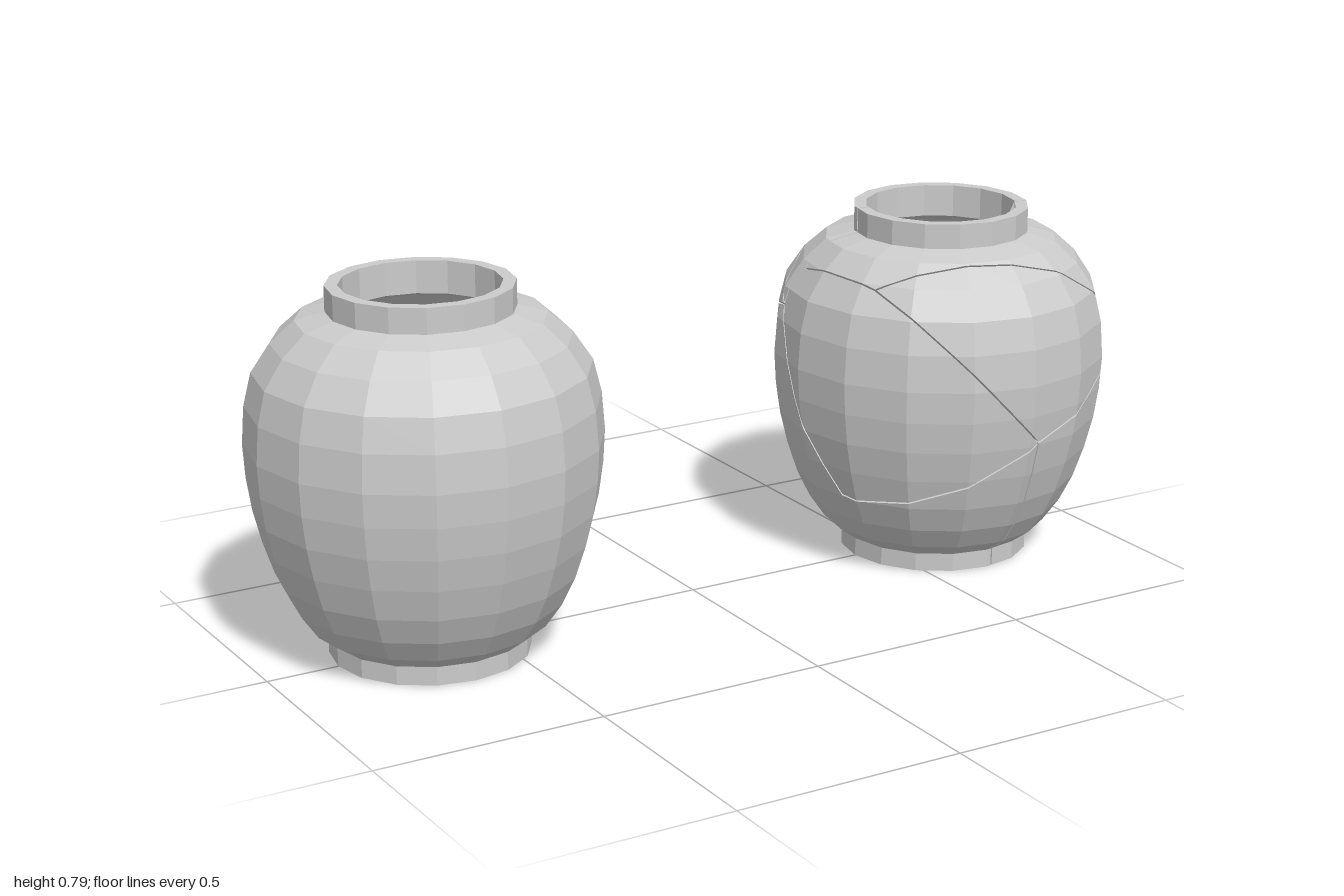
import * as THREE from 'three';

const SIDES = 16, WALL = 0.026, GAP = 0.0018, FLOOR = 0.03;
const V = (x, y, z) => new THREE.Vector3(x, y, z);
const CENTRE = V(0, 0.4, 0);

// [radius, height] from the foot up to the lip
const OUTER = [
  [0.21, 0], [0.21, 0.04], [0.25, 0.07], [0.285, 0.12], [0.314, 0.18], [0.337, 0.25],
  [0.354, 0.32], [0.364, 0.39], [0.368, 0.46], [0.362, 0.54], [0.345, 0.61],
  [0.305, 0.67], [0.255, 0.715], [0.193, 0.731], [0.193, 0.785],
];
// from the lip down to the inside floor
const INNER = [
  [0.166, 0.785], [0.166, 0.715], [0.24, 0.69], [0.285, 0.65], [0.345 - WALL, 0.6],
  [0.362 - WALL, 0.54], [0.368 - WALL, 0.46], [0.364 - WALL, 0.39], [0.354 - WALL, 0.32],
  [0.337 - WALL, 0.25], [0.314 - WALL, 0.18], [0.285 - WALL, 0.12], [0.222, 0.07], [0.19, FLOOR],
];
const lathe = (pts) =>
  new THREE.LatheGeometry(pts.map(([r, y]) => new THREE.Vector2(r, y)), SIDES);

// Points where the cracks meet; top and base lie on the axis
const J = {
  top: V(0, 0.9, 0), base: V(0, -0.2, 0),
  a: V(0.297, 0.445, 0.215), b: V(0.302, 0.53, 0.2), c: V(0.313, 0.615, 0.145),
  d: V(0.17, 0.655, -0.265), e: V(0.21, 0.435, -0.3), f: V(0.138, 0.32, -0.325),
  g: V(0.225, 0.08, -0.12), h: V(0.025, 0.325, 0.352), i: V(-0.275, 0.665, 0.15),
  j: V(-0.3, 0.66, -0.09), k: V(-0.332, 0.575, -0.117), l: V(-0.305, 0.18, 0.08),
};
// Convex pieces of the broken wall, named by their corners
const SHARDS = {
  frontRightLower: ['h', 'a', 'g', 'base'],
  sideLower: ['a', 'e', 'f', 'g'],
  sideUpper: ['a', 'b', 'c', 'd', 'e'],
  neckSide: ['top', 'c', 'd'],
  neckBack: ['top', 'd', 'k', 'j'],
  neckFront: ['top', 'c', 'b', 'i', 'j'],
  frontUpper: ['a', 'b', 'i', 'h'],
  frontSide: ['i', 'j', 'k', 'l', 'h'],
  backMiddle: ['d', 'k', 'f', 'e'],
  backLower: ['base', 'g', 'f', 'k', 'l'],
  frontLower: ['base', 'l', 'h'],
};
// Joins inside one piece, which stay closed
const CLOSED = ['top-d', 'd-top', 'base-l', 'l-base'];

// Planes through the centre that bound a shard
function shardPlanes(names) {
  const mid = V(0, 0, 0);
  names.forEach((n) => mid.add(J[n].clone().sub(CENTRE).normalize()));
  return names.map((n, k) => {
    const m = names[(k + 1) % names.length];
    const normal = J[n].clone().sub(CENTRE).cross(J[m].clone().sub(CENTRE)).normalize();
    if (normal.dot(mid) < 0) normal.negate();
    const gap = CLOSED.includes(n + '-' + m) ? 0 : GAP;
    return { normal, gap, dist: (p) => normal.dot(p.clone().sub(CENTRE)) - gap };
  });
}

function clip(poly, plane) {
  const out = [];
  poly.forEach((p, k) => {
    const q = poly[(k + 1) % poly.length], dp = plane.dist(p), dq = plane.dist(q);
    if (dp >= 0) out.push(p);
    if (dp >= 0 !== dq >= 0) out.push(p.clone().lerp(q, dp / (dp - dq)));
  });
  return out;
}

// Cut one shard out of the wall and close its broken edges
function shardGeometry(names, skins) {
  const planes = shardPlanes(names), pos = [];
  const fan = (poly) => {
    for (let k = 1; k < poly.length - 1; k++)
      [poly[0], poly[k], poly[k + 1]].forEach((p) => pos.push(p.x, p.y, p.z));
  };
  const inward = (p) => p.clone().addScaledVector(CENTRE.clone().sub(p).normalize(), WALL);
  skins.forEach((skin, s) => {
    const at = skin.attributes.position;
    for (let t = 0; t < at.count; t += 3) {
      let poly = [0, 1, 2].map((k) => V(0, 0, 0).fromBufferAttribute(at, t + k));
      for (const plane of planes) poly = clip(poly, plane);
      if (poly.length < 3) continue;
      fan(poly);
      if (s > 0) continue;
      poly.forEach((p, k) => {
        const q = poly[(k + 1) % poly.length];
        const cut = planes.some((pl) =>
          pl.gap > 0 && Math.abs(pl.dist(p)) < 1e-6 && Math.abs(pl.dist(q)) < 1e-6);
        if (cut) fan([q, p, inward(p), inward(q)]);
      });
    }
  });
  const geo = new THREE.BufferGeometry();
  geo.setAttribute('position', new THREE.Float32BufferAttribute(pos, 3));
  geo.computeVertexNormals();
  return geo;
}

export function createModel() {
  const model = new THREE.Group();
  const clay = new THREE.MeshStandardMaterial({ color: 0xcccccc, flatShading: true });
  const thinClay = clay.clone();
  thinClay.side = THREE.DoubleSide;

  // Whole vase
  const whole = new THREE.Mesh(lathe([[0, 0], ...OUTER, ...INNER, [0, FLOOR]]), clay);
  whole.name = 'wholeVase';
  whole.position.x = -0.633;
  model.add(whole);

  // Broken vase, its shards set back in place
  const broken = new THREE.Group();
  broken.name = 'brokenVase';
  broken.position.x = 0.633;
  model.add(broken);
  const skins = [
    lathe([[0.198, 0], ...OUTER, INNER[0]]).toNonIndexed(),
    lathe(INNER).toNonIndexed(),
  ];
  for (const [name, corners] of Object.entries(SHARDS)) {
    const shard = new THREE.Mesh(shardGeometry(corners, skins), thinClay);
    shard.name = name + 'Shard';
    broken.add(shard);
  }

  // Floor of the broken vase with a piece missing
  const rim = Array.from({ length: SIDES }, (_, k) => {
    const a = (k / SIDES) * Math.PI * 2;
    return new THREE.Vector2(0.2 * Math.cos(a), 0.2 * Math.sin(a));
  });
  const shape = new THREE.Shape(rim);
  const hole = [[-0.142, 0.11], [-0.115, 0.14], [0.125, 0.14], [0.035, -0.18]];
  shape.holes.push(new THREE.Path(hole.map(([x, y]) => new THREE.Vector2(x, y))));
  const floorGeo = new THREE.ExtrudeGeometry(shape, { depth: FLOOR, bevelEnabled: false });
  floorGeo.rotateX(-Math.PI / 2);
  const floor = new THREE.Mesh(floorGeo, clay);
  floor.name = 'brokenFloor';
  broken.add(floor);

  return model;
}
